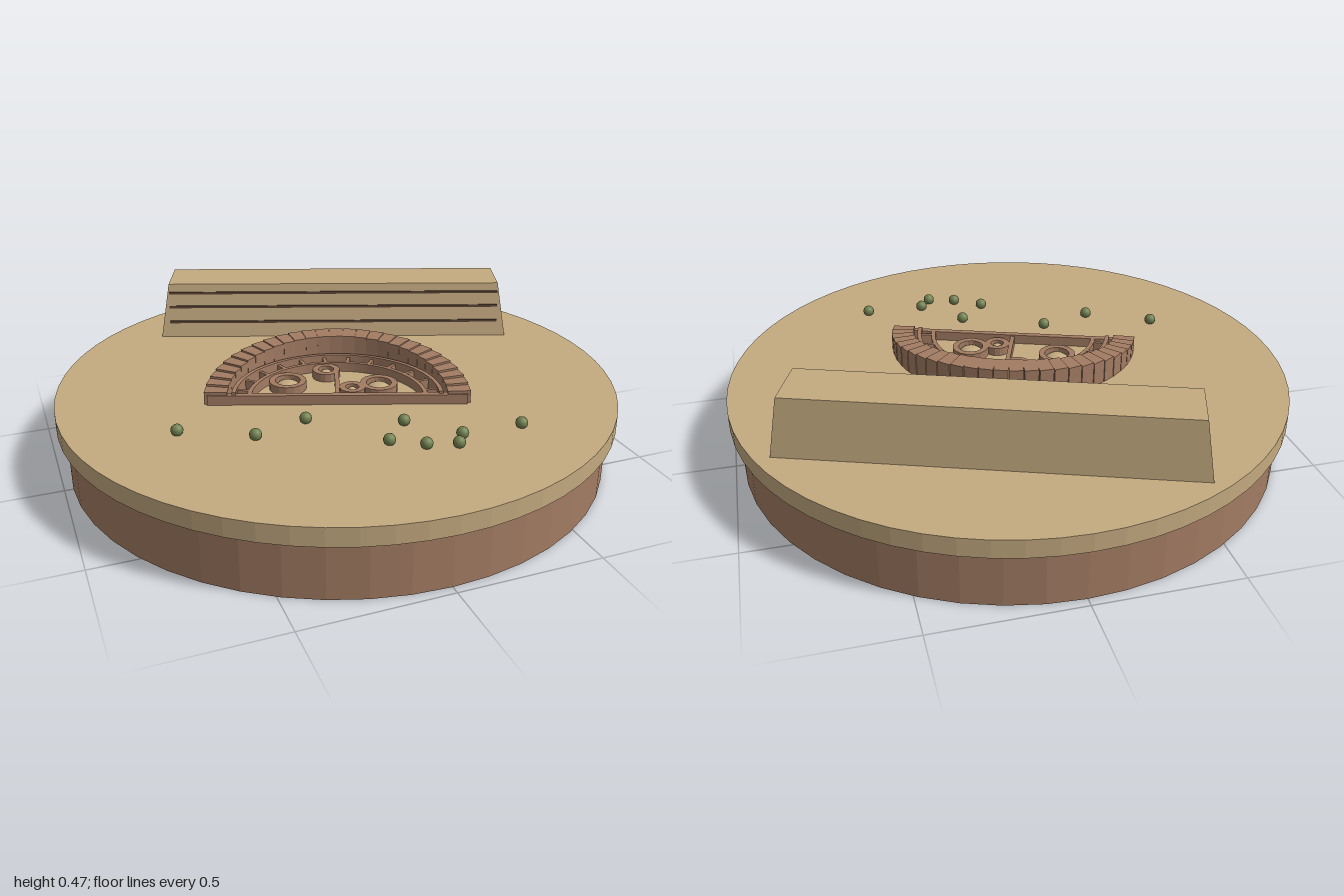
import * as THREE from 'three';

const mat = (name, color, flat = true) => {
  const m = new THREE.MeshStandardMaterial({ color, flatShading: flat });
  m.name = name;
  return m;
};

export function createModel() {
  const sand = mat('sand', 0xc4aa80);
  const brick = mat('brick', 0xa37c63);
  const dark = mat('dark groove', 0x5e4636);
  const sage = mat('sage green', 0x71804f, false);
  const domeSand = mat('smooth sand', 0xc4aa80, false);

  const model = new THREE.Group();
  model.name = 'ruinDiorama';
  const GROUND = 0.265, TURN = -0.348;

  const add = (parent, name, geo, material, x = 0, y = 0, z = 0, ry = 0) => {
    const m = new THREE.Mesh(geo, material);
    m.name = name;
    m.position.set(x, y, z);
    m.rotation.y = ry;
    parent.add(m);
    return m;
  };
  const box = (parent, name, w, h, d, material, x, y, z, ry) =>
    add(parent, name, new THREE.BoxGeometry(w, h, d), material, x, y + h / 2, z, ry);

  // Round plinth and sandy ground
  add(model, 'plinth', new THREE.CylinderGeometry(0.97, 0.97, 0.2, 48), brick, 0, 0.1, 0);
  add(model, 'ground', new THREE.CylinderGeometry(1, 1, 0.065, 64), sand, 0, 0.2325, 0);

  // Tapered cliff: a box with its top edges drawn in
  const cliff = new THREE.Group();
  cliff.name = 'cliff';
  cliff.position.set(0.18, GROUND, -0.507);
  cliff.rotation.y = TURN;
  model.add(cliff);
  const H = 0.21;
  const geo = new THREE.BoxGeometry(1.38, H, 0.24);
  const p = geo.attributes.position;
  for (let i = 0; i < p.count; i++) {
    if (p.getY(i) < 0) continue;
    p.setX(i, Math.sign(p.getX(i)) * 0.655);
    p.setZ(i, p.getZ(i) > 0 ? 0.085 : -0.105);
  }
  geo.computeVertexNormals();
  add(cliff, 'cliffBody', geo, sand, 0, H / 2, 0);
  // Strata lines on the front slope
  for (const y of [0.06, 0.12, 0.175]) {
    const z = 0.12 - 0.035 * y / H;
    box(cliff, 'strataLine', 1.31, 0.009, 0.009, dark, 0, y - 0.0045, z);
  }

  // Half-round settlement
  const town = new THREE.Group();
  town.name = 'settlement';
  town.position.set(-0.07, GROUND, 0.2);
  town.rotation.y = TURN;
  model.add(town);
  const SQUASH = 0.93;

  // Outer row of rooms, tallest in the middle
  const N = 27;
  for (let i = 0; i < N; i++) {
    const t = Math.PI * (i + 0.5) / N;
    const h = 0.042 + 0.068 * Math.sin(t);
    box(town, 'outerRoom', 0.05, h, 0.08, brick,
      0.42 * Math.cos(t), 0, -0.42 * SQUASH * Math.sin(t), t + Math.PI / 2);
  }

  // Low curved walls
  const arcWall = (name, outer, inner, h) => {
    const s = new THREE.Shape();
    s.absarc(0, 0, outer, 0, Math.PI, false);
    s.absarc(0, 0, inner, Math.PI, 0, true);
    const g = new THREE.ExtrudeGeometry(s, { depth: h, bevelEnabled: false, curveSegments: 28 });
    g.rotateX(-Math.PI / 2);
    g.scale(1, 1, SQUASH);
    add(town, name, g, brick);
  };
  arcWall('middleWall', 0.365, 0.35, 0.045);
  arcWall('innerWall', 0.312, 0.297, 0.035);

  // Partitions between the curved walls
  for (let i = 0; i < 12; i++) {
    const t = Math.PI * (i + 0.5) / 12;
    box(town, 'partition', 0.012, 0.035, 0.06, brick,
      0.332 * Math.cos(t), 0, -0.332 * SQUASH * Math.sin(t), t + Math.PI / 2);
  }

  // Straight front wall and plaza divider
  box(town, 'frontWall', 0.9, 0.035, 0.022, brick, 0, 0, -0.002);
  box(town, 'plazaDivider', 0.016, 0.03, 0.2, brick, 0, 0, -0.105);

  // Round chambers: brick ring with a sandy dome
  const chambers = [[-0.19, 0.015, 0.067], [-0.028, -0.028, 0.05],
    [0.005, 0.148, 0.046], [0.107, 0.147, 0.067]];
  for (const [x, z, r] of chambers) {
    const chamber = new THREE.Group();
    chamber.name = 'roundChamber';
    chamber.position.set(x, GROUND, z);
    model.add(chamber);
    const inner = r - 0.022;
    const ring = [[inner, 0], [r, 0], [r, 0.03], [inner, 0.03], [inner, 0]]
      .map(([a, b]) => new THREE.Vector2(a, b));
    add(chamber, 'chamberRing', new THREE.LatheGeometry(ring, 16), brick);
    const dome = new THREE.SphereGeometry(inner, 20, 6, 0, Math.PI * 2, 0, Math.PI / 2);
    add(chamber, 'chamberRoof', dome, domeSand).scale.y = 0.028 / inner;
  }

  // Scattered shrubs
  const shrub = new THREE.SphereGeometry(0.021, 14, 10);
  const spots = [[-0.64, 0.23], [-0.41, 0.35], [-0.22, 0.295], [0.08, 0.425], [-0.02, 0.535],
    [0.08, 0.6], [0.18, 0.63], [0.22, 0.575], [0.435, 0.58]];
  for (const [x, z] of spots) add(model, 'shrub', shrub, sage, x, 0.28, z);

  return model;
}
